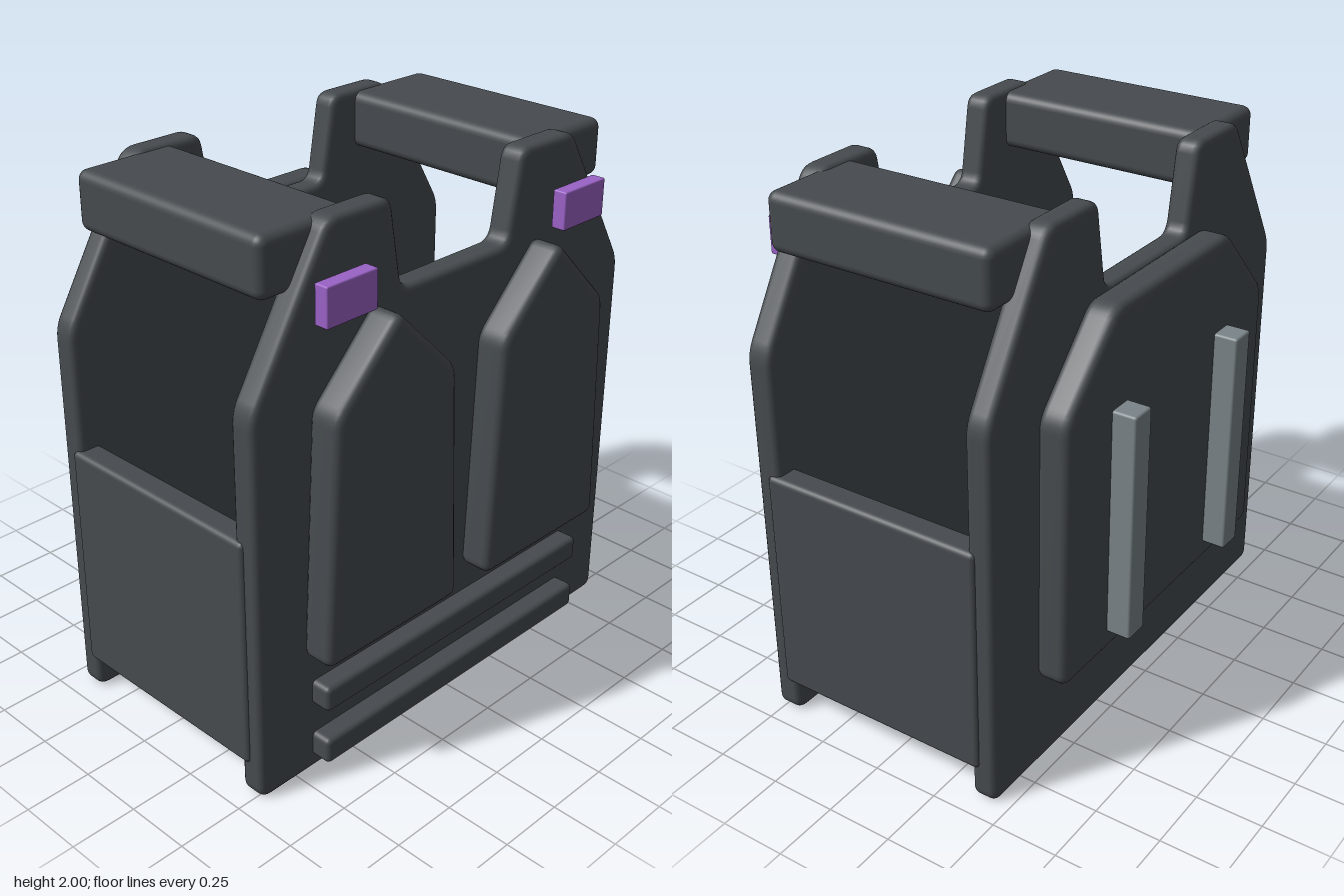
import * as THREE from 'three';
import { mergeVertices } from 'three/addons/utils/BufferGeometryUtils.js';
import { RoundedBoxGeometry } from 'three/addons/geometries/RoundedBoxGeometry.js';

const fabric = new THREE.MeshStandardMaterial({ color: 0x464b4f });
fabric.name = 'dark fabric';
const metal = new THREE.MeshStandardMaterial({ color: 0x7a8488 });
metal.name = 'grey strap';
const purple = new THREE.MeshStandardMaterial({ color: 0x9a62c6 });
purple.name = 'purple patch';

// Closed outline whose corners are rounded by radius r
function roundedShape(points, r) {
  const shape = new THREE.Shape();
  const pts = points.map(([x, y]) => new THREE.Vector2(x, y));
  pts.forEach((p, i) => {
    const prev = pts[(i + pts.length - 1) % pts.length];
    const next = pts[(i + 1) % pts.length];
    const a = p.clone().add(prev.clone().sub(p).setLength(r));
    const b = p.clone().add(next.clone().sub(p).setLength(r));
    if (i === 0) shape.moveTo(a.x, a.y);
    else shape.lineTo(a.x, a.y);
    shape.quadraticCurveTo(p.x, p.y, b.x, b.y);
  });
  shape.closePath();
  return shape;
}

// Soft-edged slab between z0 and z1
function slab(name, points, z0, z1, bevel = 0.025, r = 0.045) {
  const geo = new THREE.ExtrudeGeometry(roundedShape(points, r), {
    depth: z1 - z0 - 2 * bevel,
    bevelEnabled: true,
    bevelThickness: bevel,
    bevelSize: bevel,
    bevelOffset: -bevel,
    bevelSegments: 4,
    curveSegments: 5,
  });
  geo.translate(0, 0, z0 + bevel);
  geo.deleteAttribute('uv');
  geo.deleteAttribute('normal');
  const smooth = mergeVertices(geo, 1e-4);
  smooth.computeVertexNormals();
  const mesh = new THREE.Mesh(smooth, fabric);
  mesh.name = name;
  return mesh;
}

// Soft-edged box given by its limits on each axis
function box(name, [x0, x1], [y0, y1], [z0, z1], radius, material = fabric) {
  const geo = new RoundedBoxGeometry(x1 - x0, y1 - y0, z1 - z0, 3, radius);
  const mesh = new THREE.Mesh(geo, material);
  mesh.position.set((x0 + x1) / 2, (y0 + y1) / 2, (z0 + z1) / 2);
  mesh.name = name;
  return mesh;
}

// Right half of an outline, bottom to top, completed by its mirror image
const mirrored = (half) => [...half, ...half.map(([x, y]) => [-x, y]).reverse()];
const span = (s, a, b) => (s > 0 ? [a, b] : [-b, -a]);

export function createModel() {
  const vest = new THREE.Group();
  vest.name = 'plateVest';

  // Main front and back panels with a square neck notch
  const panel = mirrored([[0.92, 0], [0.92, 1.45], [0.595, 2], [0.315, 2], [0.26, 1.68]]);
  vest.add(slab('frontPanel', panel, 0.43, 0.53));
  vest.add(slab('backPanel', panel, -0.45, -0.355));

  // Raised back plate
  const plate = mirrored([[0.66, 0.37], [0.655, 1.38], [0.37, 1.68]]);
  vest.add(slab('backPlate', plate, -0.56, -0.44, 0.03));

  // Webbing bars across the belly
  for (const [y0, y1] of [[0.055, 0.155], [0.275, 0.372]]) {
    vest.add(box('webbingBar', [-0.68, 0.68], [y0, y1], [0.515, 0.607], 0.02));
  }

  for (const s of [1, -1]) {
    const side = s > 0 ? 'left' : 'right';

    // Chest pouch with a pointed top
    const pouch = [[0.08, 0.49], [0.715, 0.49], [0.675, 1.4], [0.4, 1.68], [0.12, 1.4]]
      .map(([x, y]) => [s * x, y]);
    if (s < 0) pouch.reverse();
    vest.add(slab(side + 'ChestPouch', pouch, 0.52, 0.65, 0.03, 0.04));

    // Shoulder pad and side panel joining front to back
    vest.add(box(side + 'ShoulderPad', span(s, 0.43, 0.825), [1.78, 1.99], [-0.395, 0.48], 0.035));
    vest.add(box(side + 'SidePanel', span(s, 0.83, 0.932), [0.13, 1.0], [-0.39, 0.477], 0.02));

    // Shoulder patch and back strap
    vest.add(box(side + 'Patch', span(s, 0.46, 0.68), [1.695, 1.833], [0.555, 0.61], 0.006, purple));
    vest.add(box(side + 'BackStrap', span(s, 0.293, 0.393), [0.45, 1.325], [-0.65, -0.545], 0.01, metal));
  }
  return vest;
}
